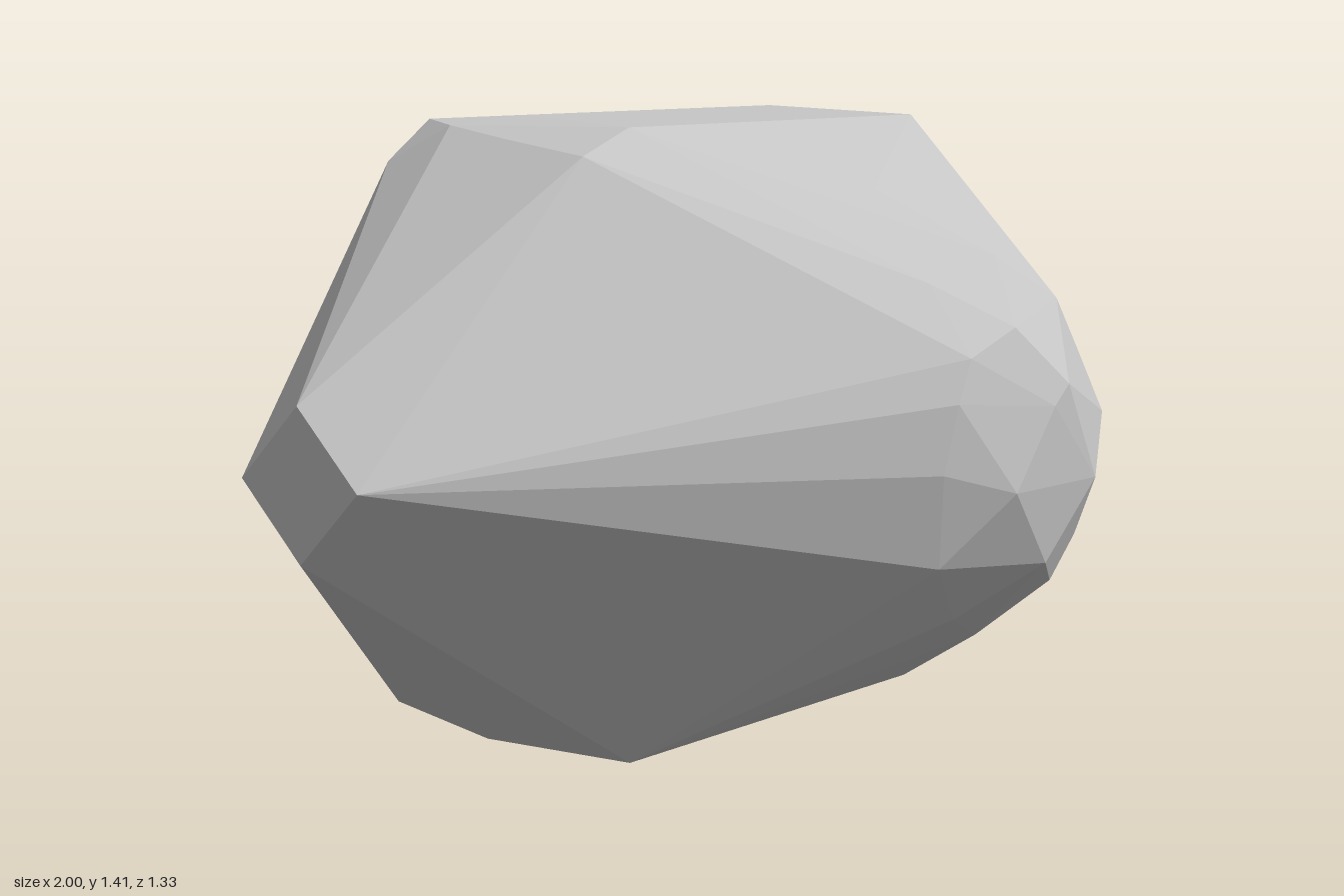
import * as THREE from 'three';
import { ConvexGeometry } from 'three/addons/geometries/ConvexGeometry.js';

// Corners of the faceted boulder, grouped by region as [x, y, z]
const topRim = [
  [-0.26, 1.403, -0.665], [-0.35, 1.395, -0.515], [-0.36, 1.37, -0.345], [-0.365, 1.34, -0.12],
  [-0.205, 1.395, -0.13], [0.82, 1.395, -0.115], [0.955, 1.395, -0.45], [0.79, 1.41, -0.52],
  [-0.11, 1.41, -0.52], [1, 1.35, -0.615], [0.975, 1.255, -0.11],
];
const bottomRim = [
  [0.905, 0, -0.525], [-0.243, 0.005, -0.53], [-0.243, 0.02, -0.106], [0.8, 0.02, -0.106],
  [0.945, 0.14, -0.054], [1, 0.225, -0.615], [-0.39, 0.1, -0.665],
];
const leftTip = [
  [-0.39, 1.315, -0.665],
  [-1, 0.87, -0.315], [-1, 0.71, -0.15], [-1, 0.55, -0.315], [-1, 0.71, -0.48],
];
const frontBulge = [
  [0.235, 1.257, 0.195], [0.32, 1.12, 0.453], [0.5, 1.016, 0.5], [0.09, 1.075, 0.44],
  [0.19, 0.984, 0.592], [0.297, 0.86, 0.66], [0.05, 0.93, 0.575], [0, 0.84, 0.58],
  [0.243, 0.818, 0.66], [0.623, 0.877, 0.488], [0.566, 0.765, 0.582], [0.402, 0.647, 0.666],
  [0.115, 0.647, 0.65], [-0.035, 0.695, 0.568], [-0.008, 0.492, 0.54], [0.26, 0.476, 0.632],
  [0.136, 0.353, 0.48], [0.404, 0.406, 0.554], [0.564, 0.481, 0.517], [0.682, 0.647, 0.44],
  [0.825, 0.725, 0.205], [0.3, 0.285, 0.43], [0.265, 0.152, 0.196],
];

export function createModel() {
  const group = new THREE.Group();
  group.name = 'rock';

  const stone = new THREE.MeshStandardMaterial({ color: 0xc5c5c5 });
  stone.name = 'light stone grey';

  // Convex faceted boulder with hard edges
  const points = [...topRim, ...bottomRim, ...leftTip, ...frontBulge]
    .map((p) => new THREE.Vector3(...p));
  const boulder = new THREE.Mesh(new ConvexGeometry(points), stone);
  boulder.name = 'boulder';
  group.add(boulder);

  return group;
}
